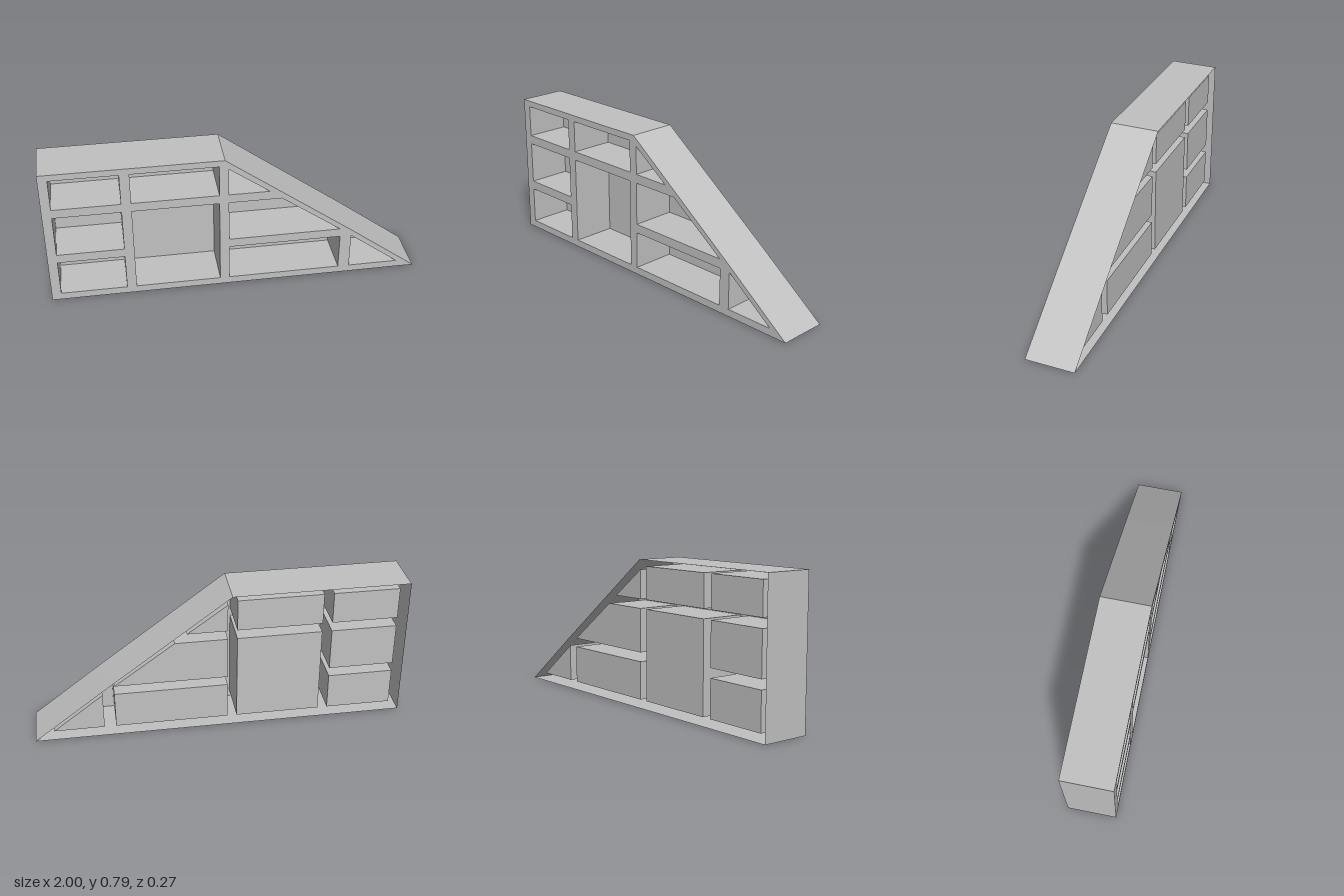
import * as THREE from 'three';

const FRONT = 0.133, BACK = -0.133, POCKET_BACK = -0.112;

// Open wall that follows a closed outline from one depth to another
function wallGeometry(points, z0, z1) {
  const pos = [];
  points.forEach(([ax, ay], i) => {
    const [bx, by] = points[(i + 1) % points.length];
    pos.push(ax, ay, z0, bx, by, z0, bx, by, z1);
    pos.push(ax, ay, z0, bx, by, z1, ax, ay, z1);
  });
  const g = new THREE.BufferGeometry();
  g.setAttribute('position', new THREE.Float32BufferAttribute(pos, 3));
  g.computeVertexNormals();
  return g;
}

const toVectors = (points) => points.map(([x, y]) => new THREE.Vector2(x, y));
const rect = (x0, x1, y0, y1) => [[x0, y0], [x1, y0], [x1, y1], [x0, y1]];

export function createModel() {
  const group = new THREE.Group();
  const grey = new THREE.MeshStandardMaterial({ color: 0xc0c0c0, side: THREE.DoubleSide });
  grey.name = 'plain grey';

  const add = (name, geometry, z = 0, parent = group) => {
    const mesh = new THREE.Mesh(geometry, grey);
    mesh.name = name;
    mesh.position.z = z;
    parent.add(mesh);
  };

  // Outer silhouette, anticlockwise from the front
  const outline = [[-1, 0], [1, 0], [0.62, 0.288], [-0.06, 0.79], [-1, 0.79]];

  // Shelf openings: left column, middle column, then those under the slope
  const openings = [
    rect(-0.95, -0.597, 0.04, 0.245),
    rect(-0.95, -0.597, 0.295, 0.53),
    rect(-0.95, -0.597, 0.58, 0.755),
    rect(-0.545, -0.09, 0.04, 0.53),
    rect(-0.545, -0.09, 0.58, 0.755),
    rect(-0.04, 0.568, 0.04, 0.245),
    [[-0.04, 0.295], [0.565, 0.295], [0.24, 0.53], [-0.04, 0.53]],
    [[-0.04, 0.58], [0.175, 0.58], [-0.04, 0.735]],
    [[0.63, 0.04], [0.9, 0.04], [0.63, 0.245]],
  ];

  // Front frame with the openings cut out
  const face = new THREE.Shape(toVectors(outline));
  openings.forEach((o) => face.holes.push(new THREE.Path(toVectors(o))));
  add('frontFrame', new THREE.ShapeGeometry(face), FRONT);

  // Thin outer casing, open at the back
  add('outerCasing', wallGeometry(outline, BACK, FRONT));

  // Each compartment: thin walls plus a back panel
  openings.forEach((o, i) => {
    const compartment = new THREE.Group();
    compartment.name = `compartment${i + 1}`;
    add('compartmentWalls', wallGeometry(o, FRONT, POCKET_BACK), 0, compartment);
    add('compartmentBack', new THREE.ShapeGeometry(new THREE.Shape(toVectors(o))), POCKET_BACK, compartment);
    group.add(compartment);
  });

  return group;
}
